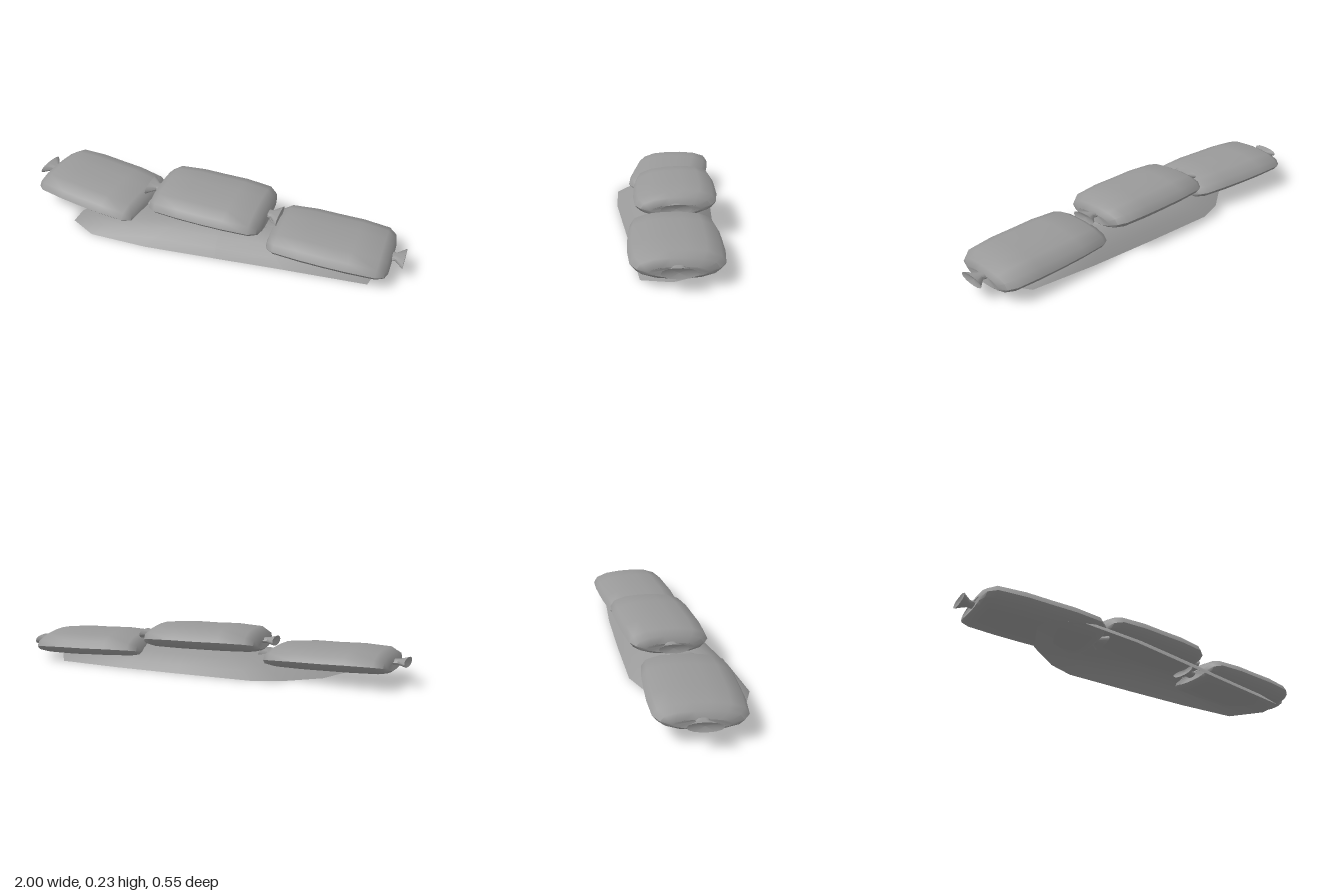
import * as THREE from 'three';
import { toCreasedNormals } from 'three/addons/utils/BufferGeometryUtils.js';

// Skin a list of equal-length point rings; optional centre points close the ends.
function loft(rings, startCap, endCap, crease) {
  const n = rings[0].length;
  const pos = rings.flat(2);
  const index = [];
  for (let r = 0; r < rings.length - 1; r++) {
    for (let i = 0; i < n; i++) {
      const j = (i + 1) % n;
      const a = r * n, b = a + n;
      index.push(a + i, b + i, a + j, b + i, b + j, a + j);
    }
  }
  const cap = (centre, base, flip) => {
    const c = pos.length / 3;
    pos.push(...centre);
    for (let i = 0; i < n; i++) {
      const j = (i + 1) % n;
      if (flip) index.push(c, base + j, base + i);
      else index.push(c, base + i, base + j);
    }
  };
  if (startCap) cap(startCap, 0, false);
  if (endCap) cap(endCap, (rings.length - 1) * n, true);
  const g = new THREE.BufferGeometry();
  g.setAttribute('position', new THREE.Float32BufferAttribute(pos, 3));
  g.setIndex(index);
  return toCreasedNormals(g, crease);
}

// Flattened pillow section [z, y], in units of half width and half height
const SECTION = [
  [1, -0.05], [0.9, 0.5], [0.6, 0.87], [0.2, 1], [-0.2, 1], [-0.6, 0.87], [-0.9, 0.5],
  [-1, -0.05], [-0.88, -0.5], [-0.55, -0.87], [-0.15, -1], [0.15, -1], [0.55, -0.87], [0.88, -0.5],
];

// One half of the bag, from tie tip inward: [x, half width, half height, y shift]
const HALF = [
  [0.357, 0.075, 0.023, -0.005],
  [0.315, 0.028, 0.014, -0.005],
  [0.292, 0.03, 0.014, -0.006],
  [0.3, 0.12, 0.022, -0.022],
  [0.288, 0.168, 0.044, -0.01],
  [0.25, 0.196, 0.058, -0.002],
  [0.12, 0.207, 0.064, 0.001],
];

function bagGeometry() {
  const stations = [
    ...HALF.map(([x, ...rest]) => [-x, ...rest]),
    [0, 0.208, 0.063, 0],
    ...HALF.slice().reverse(),
  ];
  const rings = stations.map(([x, w, h, dy]) =>
    SECTION.map(([z, y]) => [x, y * h + dy, z * w]));
  return loft(rings, [-0.345, -0.005, 0], [0.345, -0.005, 0], 0.85);
}

// Low earth mound, open underneath
function moundGeometry() {
  const outline = [
    [0.88, 0.03], [0.85, 0.165], [0.45, 0.2], [0.1, 0.235], [-0.26, 0.27], [-0.56, 0.27],
    [-0.7, 0.195], [-0.7, 0.1], [-0.6, -0.08], [-0.42, -0.2], [-0.28, -0.24],
    [0.1, -0.215], [0.45, -0.185], [0.78, -0.14],
  ];
  // [scale in x, scale in z, height]
  const steps = [[1, 1, 0], [0.86, 0.84, 0.04], [0.66, 0.62, 0.078], [0.36, 0.36, 0.104]];
  const cx = 0.07, cz = 0.01;
  const rings = steps.map(([sx, sz, y]) =>
    outline.map(([x, z]) => [cx + (x - cx) * sx, y, cz + (z - cz) * sz]));
  return loft(rings, null, [cx, 0.112, cz], 0.9);
}

export function createModel() {
  const group = new THREE.Group();
  const grey = new THREE.MeshStandardMaterial({ color: 0x999999, side: THREE.DoubleSide });
  grey.name = 'grey';

  const mound = new THREE.Mesh(moundGeometry(), grey);
  mound.name = 'mound';
  group.add(mound);

  // Three tied sandbags: name, position, rotation, scale
  const bag = bagGeometry();
  const bags = [
    ['middleSandbag', [0.003, 0.163, -0.025], [0.05, -0.03, -0.01], [1, 1, 1]],
    ['leftSandbag', [0.636, 0.092, 0.008], [0, -0.01, -0.02], [1, 1, 1]],
    ['rightSandbag', [-0.637, 0.103, -0.036], [0.04, -0.16, -0.03], [1.02, 0.95, 1.04]],
  ];
  for (const [name, p, r, s] of bags) {
    const mesh = new THREE.Mesh(bag, grey);
    mesh.name = name;
    mesh.position.set(...p);
    mesh.rotation.set(...r);
    mesh.scale.set(...s);
    group.add(mesh);
  }
  return group;
}
